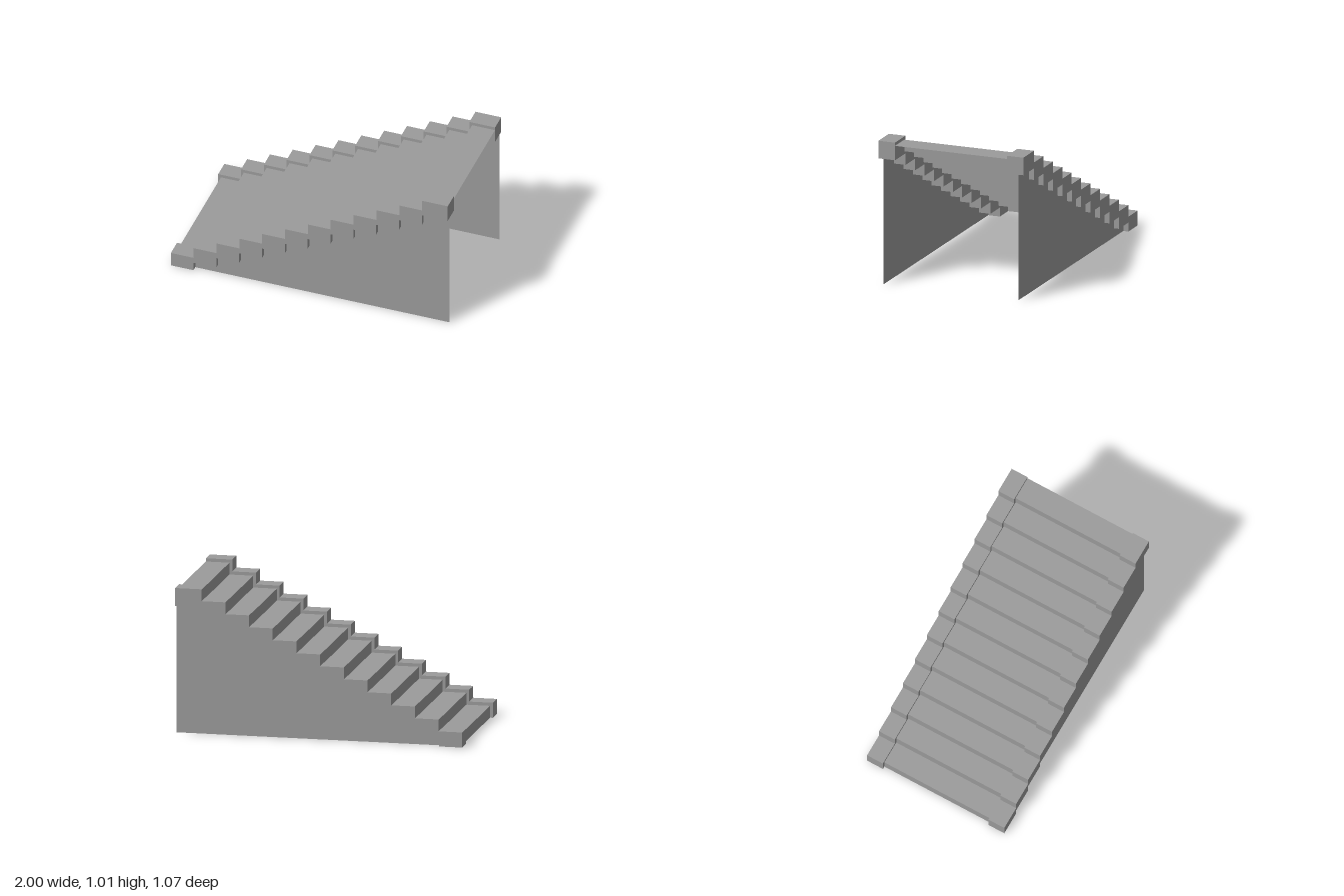
import * as THREE from 'three';

const STEPS = 12, RUN = 0.165, RISE = 0.0825;
const INNER = 0.412, OUTER = 0.535, WALL = 0.498;
const GREY = 0x9b9b9b;

// Zig-zag of n steps: up at x0 + i * RUN to height y0 + i * RISE, ending at x = 1
function zigzag(x0, y0, n) {
  const pts = [];
  for (let i = 0; i < n; i++) {
    const x = x0 + i * RUN;
    pts.push([x, i === 0 ? 0 : y0 + (i - 1) * RISE], [x, y0 + i * RISE]);
  }
  pts.push([1, y0 + (n - 1) * RISE]);
  return pts.map(([x, y]) => new THREE.Vector2(x, y));
}

export function createModel() {
  const group = new THREE.Group();
  const solid = new THREE.MeshStandardMaterial({ color: GREY, flatShading: true });
  const sheet = new THREE.MeshStandardMaterial({ color: GREY, flatShading: true, side: THREE.DoubleSide });

  const add = (name, geometry, material, z = 0) => {
    const mesh = new THREE.Mesh(geometry, material);
    mesh.name = name;
    mesh.position.z = z;
    group.add(mesh);
  };

  // Treads and risers: one folded sheet, open underneath
  const fold = zigzag(-0.98, RISE, STEPS);
  const pos = [];
  for (let i = 0; i + 1 < fold.length; i++) {
    const a = fold[i], b = fold[i + 1], z = INNER;
    pos.push(a.x, a.y, z, b.x, b.y, -z, a.x, a.y, -z);
    pos.push(a.x, a.y, z, b.x, b.y, z, b.x, b.y, -z);
  }
  const treads = new THREE.BufferGeometry();
  treads.setAttribute('position', new THREE.Float32BufferAttribute(pos, 3));
  treads.computeVertexNormals();
  add('treadsAndRisers', treads, sheet);

  // Stepped underside of the curbs, which is also the top of the side walls
  const under = zigzag(-0.837, 0.063, STEPS - 1);

  // Stepped curbs along both sides
  const top = zigzag(-1, 0.105, STEPS);
  const curbShape = new THREE.Shape([...top, ...under.slice().reverse()]);
  const curb = new THREE.ExtrudeGeometry(curbShape, { depth: OUTER - INNER, bevelEnabled: false });
  add('leftCurb', curb, solid, INNER);
  add('rightCurb', curb, solid, -OUTER);

  // Thin side walls, set in from the outer faces of the curbs
  const wall = new THREE.ShapeGeometry(new THREE.Shape([...under, new THREE.Vector2(1, 0)]));
  add('leftWall', wall, sheet, WALL);
  add('rightWall', wall, sheet, -WALL);

  return group;
}
